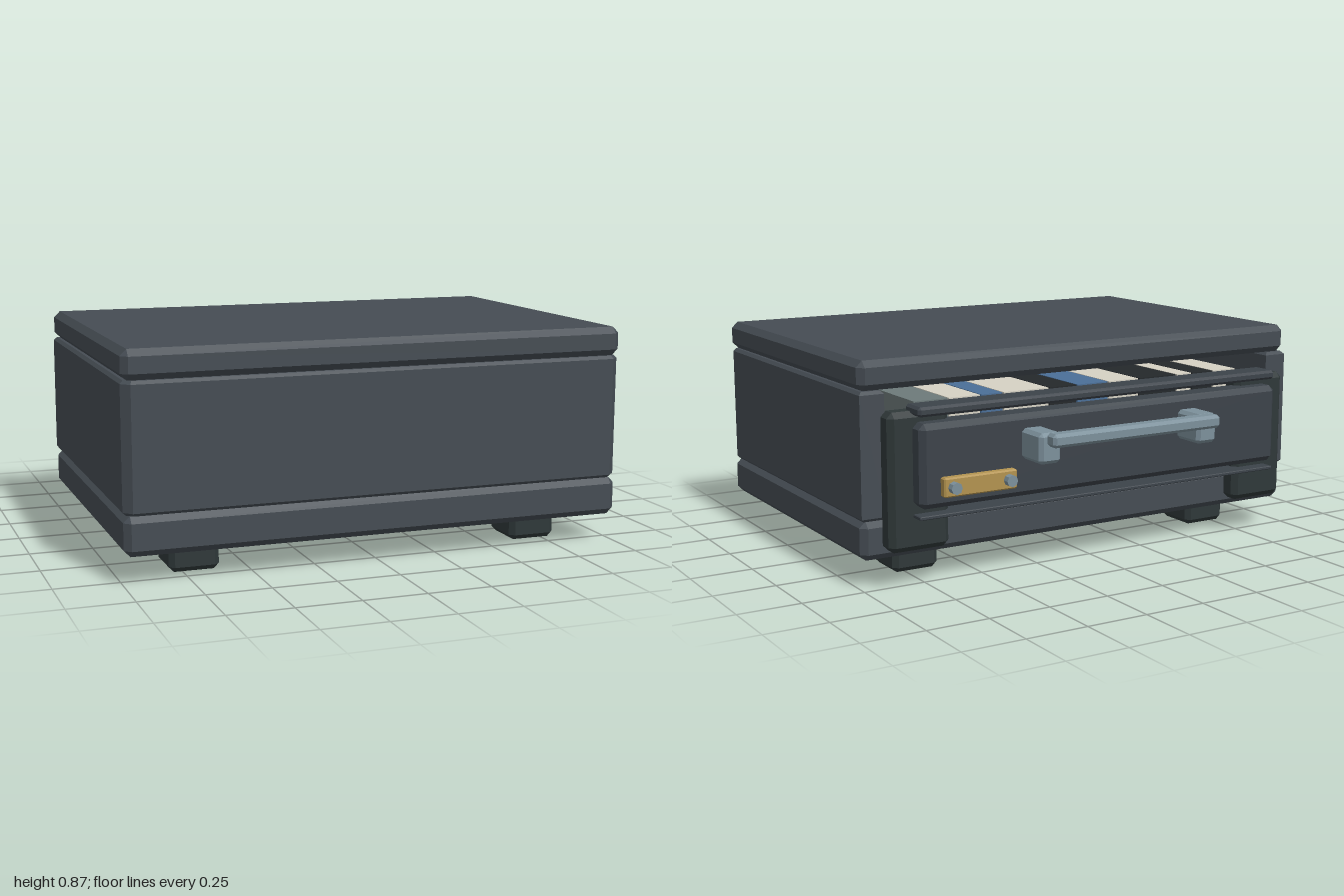
import * as THREE from 'three';
import { ConvexGeometry } from 'three/addons/geometries/ConvexGeometry.js';

const mats = {};
const mat = (color) => (mats[color] ??= new THREE.MeshStandardMaterial({ color, flatShading: true }));
const SHELL = 0x454c53, DARK = 0x2f3839, TRIM = 0x3c434a, STEEL = 0x7c909b, BRASS = 0xb39350;
const CREAM = 0xd6d2c4, BLUE = 0x4b6f98, BLACK = 0x24282b, GREY = 0x6d7a7a;

// Box with chamfered edges, given by its min/max on each axis
function chamferBox(x0, x1, y0, y1, z0, z1, c) {
  const h = [(x1 - x0) / 2, (y1 - y0) / 2, (z1 - z0) / 2];
  const pts = [];
  for (const sx of [-1, 1]) for (const sy of [-1, 1]) for (const sz of [-1, 1]) {
    for (let full = 0; full < 3; full++) {
      const d = h.map((v, i) => (i === full ? v : v - c));
      pts.push(new THREE.Vector3(sx * d[0], sy * d[1], sz * d[2]));
    }
  }
  return new ConvexGeometry(pts).translate((x0 + x1) / 2, (y0 + y1) / 2, (z0 + z1) / 2);
}

export function createModel() {
  const root = new THREE.Group();
  const add = (name, geo, color) => {
    const m = new THREE.Mesh(geo, mat(color));
    m.name = name;
    root.add(m);
    return m;
  };
  const box = (name, x0, x1, y0, y1, z0, z1, c, color) =>
    add(name, chamferBox(x0, x1, y0, y1, z0, z1, c), color);

  // Lid and base slabs
  box('lid', -1, 1, 0.752, 0.865, -0.49, 0.84, 0.025, SHELL);
  box('base', -1, 1, 0.11, 0.262, -0.49, 0.84, 0.025, SHELL);

  // Body: U-shaped wall, open towards -z (shape y becomes -z)
  const b = 0.012, o = 1 - b, i = 0.9 + b, zf = 0.84 - b, zb = -0.49 + b, zi = 0.74 + b, k = 0.025;
  const plan = [[-o, zb], [-i, zb], [-i, zi], [i, zi], [i, zb], [o, zb], [o, zf - k], [o - k, zf], [-o + k, zf], [-o, zf - k]];
  const wall = new THREE.ExtrudeGeometry(new THREE.Shape(plan.map(([x, z]) => new THREE.Vector2(x, -z))), {
    depth: 0.49 - 2 * b, bevelEnabled: true, bevelSegments: 1, bevelSize: b, bevelThickness: b,
  });
  wall.rotateX(-Math.PI / 2).translate(0, 0.262 + b, 0);
  add('bodyWalls', wall, SHELL);

  // Feet
  for (const s of [-1, 1]) for (const z of [0.605, -0.25]) {
    box('foot', s * 0.705 - 0.097, s * 0.705 + 0.097, 0, 0.13, z - 0.097, z + 0.097, 0.02, DARK);
  }

  // Row of cards stored inside: [width, colour] from +x to -x
  const cards = [[0.15, GREY], [0.14, CREAM], [0.1, BLUE], [0.21, CREAM], [0.13, BLACK], [0.15, BLUE],
    [0.15, CREAM], [0.19, BLACK], [0.08, CREAM], [0.11, BLACK], [0.12, CREAM]];
  let x = 0.76;
  for (const [w, color] of cards) {
    const g = new THREE.BoxGeometry(w - 0.006, 0.41, 0.95);
    g.translate(x - w / 2, 0.485, 0.03);
    add('storedCard', g, color);
    x -= w;
  }

  // Side posts carrying the access panel
  for (const s of [-1, 1]) {
    box('sidePost', s * 0.8 - 0.125, s * 0.8 + 0.125, 0.15, 0.68, -0.577, -0.485, 0.022, DARK);
  }
  box('accessPanel', -0.83, 0.83, 0.32, 0.64, -0.645, -0.52, 0.022, TRIM);
  box('upperRail', -0.83, 0.83, 0.665, 0.702, -0.632, -0.517, 0.01, TRIM);
  box('lowerRail', -0.83, 0.83, 0.28, 0.294, -0.632, -0.53, 0.003, TRIM);

  // Handle
  for (const s of [-1, 1]) {
    box('handleBracket', s * 0.363 - 0.047, s * 0.363 + 0.047, 0.47, 0.588, -0.788, -0.64, 0.014, STEEL);
  }
  box('handleBar', -0.385, 0.385, 0.54, 0.592, -0.845, -0.782, 0.012, STEEL);

  // Brass plate with two rivets
  box('labelPlate', 0.443, 0.752, 0.365, 0.44, -0.677, -0.64, 0.006, BRASS);
  for (const rx of [0.48, 0.715]) {
    const g = new THREE.CylinderGeometry(0.023, 0.023, 0.04, 8);
    g.rotateX(Math.PI / 2).translate(rx, 0.403, -0.685);
    add('plateRivet', g, STEEL);
  }
  return root;
}
